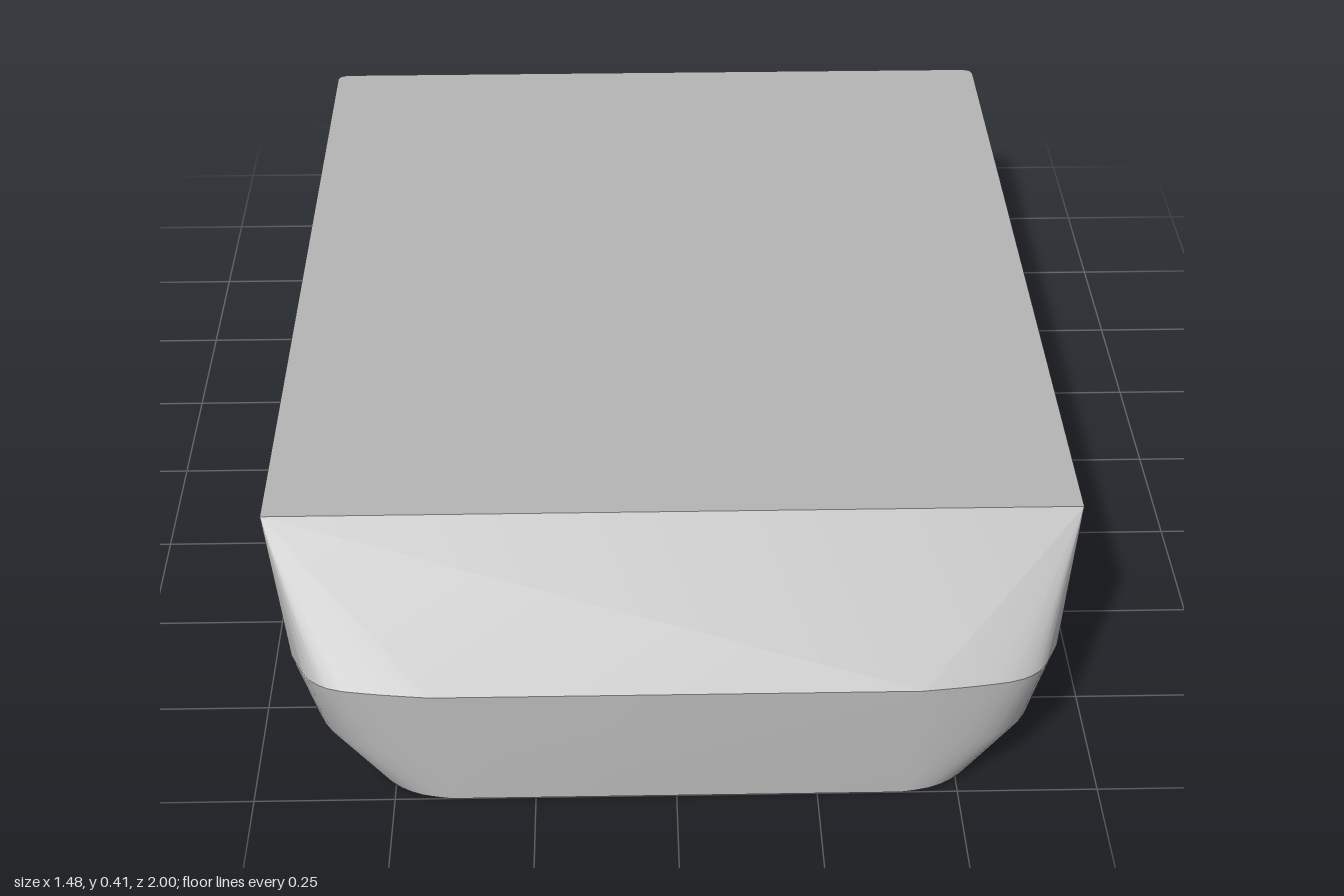
import * as THREE from 'three';
import { toCreasedNormals } from 'three/addons/utils/BufferGeometryUtils.js';
import { ConvexGeometry } from 'three/addons/geometries/ConvexGeometry.js';

// Smooth run of points through a few [x, y, z] controls
function run(controls, n) {
  const pts = controls.map((p) => new THREE.Vector3(...p));
  return new THREE.CatmullRomCurve3(pts, false, 'centripetal').getPoints(n);
}

export function createModel() {
  const group = new THREE.Group();
  const grey = new THREE.MeshStandardMaterial({ color: 0xb4b4b4 });
  grey.name = 'grey';

  // Half of the hull (+x side)
  const half = [
    // flat deck edge
    new THREE.Vector3(0.737, 0.405, 0.7),
    // underside outline: widest amidships, tapering to both ends
    new THREE.Vector3(0.555, 0, -1),
    ...run([[0.735, 0, -0.02], [0.739, 0, 0.1], [0.733, 0, 0.22], [0.71, 0, 0.36], [0.68, 0, 0.47]], 12),
    ...run([[0.545, 0, 0.89], [0.525, 0, 0.935], [0.49, 0, 0.97], [0.45, 0, 0.99], [0.4, 0, 1]], 8),
    // nose rim, rounded at the corner
    ...run([[0.68, 0.218, 0.86], [0.66, 0.218, 0.9], [0.64, 0.218, 0.93], [0.605, 0.218, 0.953],
      [0.53, 0.218, 0.968], [0.43, 0.218, 0.98]], 12),
    // bulge between rim and underside
    ...run([[0.635, 0.1, 0.885], [0.61, 0.1, 0.93], [0.565, 0.1, 0.962], [0.5, 0.1, 0.98], [0.42, 0.1, 0.991]], 8),
  ];
  // curved stern section, with a slightly eased corner
  const stern = run([[0.737, 0.405, 0], [0.718, 0.225, 0], [0.675, 0.125, 0], [0.623, 0.055, 0], [0.555, 0, 0]], 12);
  for (const p of stern) {
    half.push(new THREE.Vector3(p.x, p.y, -0.98));
    half.push(new THREE.Vector3(p.x - 0.006, p.y, -0.994));
    half.push(new THREE.Vector3(p.x - 0.02, p.y, -1));
  }

  const points = half.concat(half.map((p) => new THREE.Vector3(-p.x, p.y, p.z)));
  const geometry = toCreasedNormals(new ConvexGeometry(points), 0.42);
  const hull = new THREE.Mesh(geometry, grey);
  hull.name = 'hull';
  group.add(hull);
  return group;
}
